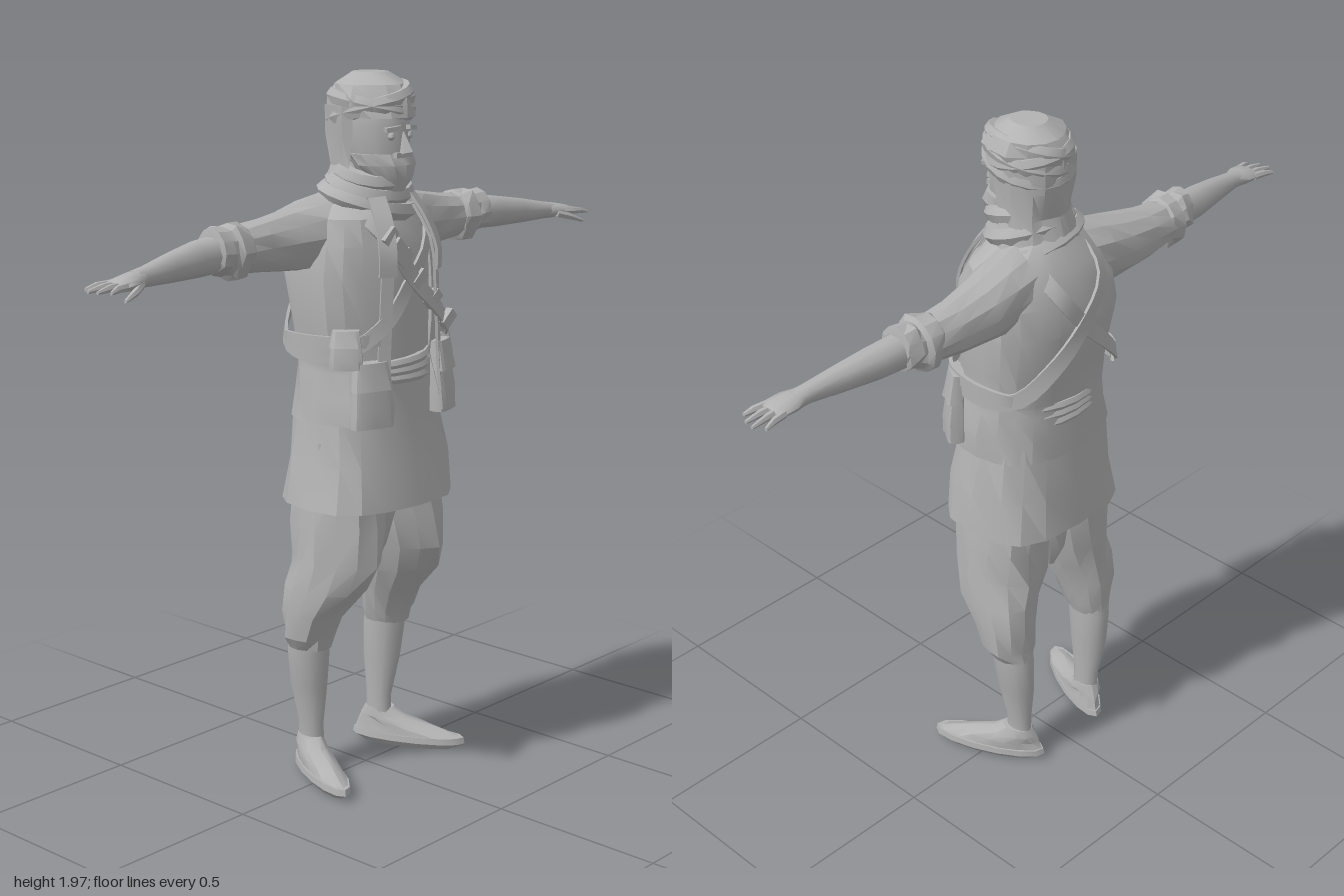
import * as THREE from 'three';
import { toCreasedNormals, mergeGeometries } from 'three/addons/utils/BufferGeometryUtils.js';

const material = new THREE.MeshStandardMaterial({ color: 0xb2b2b2, side: THREE.DoubleSide });
material.name = 'plain grey';

// Repeatable wobble between -1 and 1 for cloth folds
const wobble = (i, j) => {
  const v = Math.sin(i * 127.1 + j * 311.7 + 4.3) * 43758.5453;
  return (v - Math.floor(v)) * 2 - 1;
};

// Skin through rings [along, u, cz, ru, rz]; axis 'y' (u = x) or 'x' (u = y).
// gap leaves the front open; box > 0 squares the cross-section; fold roughens it.
function loft(rings, { axis = 'y', sides = 14, gap = 0, box = 0, fold = 0, caps = true } = {}) {
  const pos = [], idx = [];
  const soft = v => Math.sign(v) * Math.abs(v) ** (1 - box);
  const put = (a, u, z) => (axis === 'y' ? pos.push(u, a, z) : pos.push(a, u, z));
  const dir = axis === 'y' ? 1 : -1;
  rings.forEach(([a, u, cz, ru, rz], i) => {
    for (let j = 0; j <= sides; j++) {
      const t = gap + (j / sides) * (Math.PI * 2 - 2 * gap);
      const k = 1 + fold * wobble(i * 0.35, gap ? j : j % sides);
      put(a, u + dir * soft(Math.sin(t)) * ru * k, cz + soft(Math.cos(t)) * rz * k);
    }
  });
  const w = sides + 1;
  for (let i = 0; i < rings.length - 1; i++)
    for (let j = 0; j < sides; j++) {
      const a = i * w + j, c = a + w;
      idx.push(a, a + 1, c, a + 1, c + 1, c);
    }
  if (caps && !gap) {
    for (const i of [0, rings.length - 1]) {
      const m = pos.length / 3;
      put(rings[i][0], rings[i][1], rings[i][2]);
      for (let j = 0; j < sides; j++) {
        const a = i * w + j;
        if (i) idx.push(a, a + 1, m); else idx.push(a + 1, a, m);
      }
    }
  }
  const g = new THREE.BufferGeometry();
  g.setAttribute('position', new THREE.Float32BufferAttribute(pos, 3));
  g.setIndex(idx);
  return g;
}

// Flat band along a path, lying against the body
function band(points, width, closed = true, n = 40, thick = 0.008) {
  const curve = new THREE.CatmullRomCurve3(points.map(p => new THREE.Vector3(...p)), closed);
  const pos = [], idx = [];
  for (let i = 0; i <= n; i++) {
    const p = curve.getPointAt(i / n), t = curve.getTangentAt(i / n);
    const out = new THREE.Vector3(p.x, Math.max(0, p.y - 1.5), p.z + 0.02);
    out.addScaledVector(t, -out.dot(t)).normalize();
    const side = new THREE.Vector3().crossVectors(out, t).normalize();
    for (const [s, o] of [[-1, 0], [-1, 1], [1, 1], [1, 0]]) {
      const v = p.clone().addScaledVector(side, s * width / 2).addScaledVector(out, o * thick);
      pos.push(v.x, v.y, v.z);
    }
  }
  for (let i = 0; i < n; i++)
    for (let k = 0; k < 4; k++) {
      const a = i * 4 + k, b = i * 4 + (k + 1) % 4;
      idx.push(a, a + 4, b, b, a + 4, b + 4);
    }
  const g = new THREE.BufferGeometry();
  g.setAttribute('position', new THREE.Float32BufferAttribute(pos, 3));
  g.setIndex(idx);
  return g;
}

// Mirror across x, keeping faces outward
function mirror(geo) {
  const g = (geo.index ? geo.toNonIndexed() : geo.clone()).scale(-1, 1, 1);
  const p = g.attributes.position.array;
  for (let i = 0; i < p.length; i += 9)
    for (let k = 0; k < 3; k++) [p[i + k], p[i + 3 + k]] = [p[i + 3 + k], p[i + k]];
  return g;
}

export function createModel() {
  const model = new THREE.Group();
  model.name = 'standing figure';
  const add = (name, geo, crease = 0.6) => {
    for (const k of ['uv', 'normal']) geo.deleteAttribute(k);
    const mesh = new THREE.Mesh(toCreasedNormals(geo, crease), material);
    mesh.name = name;
    model.add(mesh);
  };
  const pair = (name, geo, crease) => {
    add('left' + name, geo.clone(), crease);
    add('right' + name, mirror(geo), crease);
  };
  const box = (w, h, d, x, y, z, rz = 0, ry = 0) =>
    new THREE.BoxGeometry(w, h, d).rotateZ(rz).rotateY(ry).translate(x, y, z);

  // Feet in pointed shoes, turned outward
  const place = g => g.rotateY(0.43).translate(0.148, 0, -0.08);
  pair('Sole', place(loft([[0.012, 0, 0.09, 0.036, 0.14], [0.03, 0, 0.09, 0.05, 0.172], [0.048, 0, 0.09, 0.048, 0.168]])));
  pair('Shoe', place(loft([[0.045, 0, 0.085, 0.045, 0.16], [0.07, 0, 0.055, 0.042, 0.12],
    [0.095, 0, 0.012, 0.038, 0.068], [0.12, 0, 0, 0.032, 0.044]], { fold: 0.07 })), 0.5);

  // Lower legs
  pair('Calf', loft([[0.08, 0.143, -0.08, 0.028, 0.042], [0.16, 0.145, -0.08, 0.028, 0.042],
    [0.28, 0.155, -0.078, 0.045, 0.06], [0.38, 0.16, -0.073, 0.053, 0.066], [0.46, 0.162, -0.06, 0.055, 0.06]]), 1);

  // Baggy trousers gathered under the knee, with a low seat between the legs
  pair('TrouserLeg', loft([[0.395, 0.165, -0.07, 0.056, 0.066], [0.43, 0.165, -0.062, 0.072, 0.074],
    [0.5, 0.16, -0.046, 0.08, 0.092], [0.58, 0.147, -0.012, 0.097, 0.125], [0.66, 0.132, 0.01, 0.11, 0.145],
    [0.76, 0.118, 0.005, 0.116, 0.137], [0.88, 0.108, 0, 0.112, 0.13], [1.0, 0.1, 0, 0.1, 0.12]],
    { fold: 0.09, sides: 13 }), 0.4);
  add('trouserSeat', loft([[0.63, 0, -0.02, 0.03, 0.06], [0.69, 0, -0.015, 0.055, 0.09],
    [0.78, 0, -0.01, 0.08, 0.11], [0.92, 0, 0, 0.1, 0.12]], { fold: 0.08 }), 0.4);

  // Shirt: torso, and its long skirt below the sash
  add('shirt', loft([[1.1, 0, 0, 0.185, 0.14], [1.25, 0, 0, 0.19, 0.14], [1.4, 0, -0.01, 0.2, 0.145],
    [1.52, 0, -0.01, 0.195, 0.145], [1.6, 0, -0.015, 0.17, 0.115], [1.67, 0, -0.01, 0.09, 0.075]], { box: 0.15 }), 1);
  add('shirtSkirt', loft([[0.82, 0.005, 0.008, 0.245, 0.188], [0.94, 0.003, 0.006, 0.226, 0.174],
    [1.08, 0, 0, 0.2, 0.153], [1.2, 0, 0, 0.186, 0.143]], { box: 0.28, fold: 0.035, sides: 16, caps: false }), 0.4);
  for (let i = 0; i < 3; i++)
    add('sash' + (i + 1), new THREE.TorusGeometry(1, 0.09, 6, 24).rotateX(Math.PI / 2)
      .scale(0.182, 0.16, 0.15).rotateZ((i - 1) * 0.04).translate(0, 1.17 + i * 0.022, 0));

  // Open coat with a tail that flares clear of the skirt, and turned-back front edges
  add('coat', loft([[1.06, 0, 0.018, 0.222, 0.176], [1.13, 0, 0.013, 0.217, 0.17], [1.2, 0, 0.005, 0.205, 0.158],
    [1.23, 0, 0.003, 0.202, 0.155], [1.32, 0, -0.002, 0.215, 0.162], [1.45, 0, -0.015, 0.219, 0.17],
    [1.54, 0, -0.012, 0.212, 0.166], [1.61, 0, -0.012, 0.19, 0.138], [1.655, 0, -0.02, 0.135, 0.1],
    [1.69, 0, -0.02, 0.085, 0.08]], { box: 0.2, gap: 0.38, sides: 18, fold: 0.03 }), 0.4);
  pair('CoatEdge', band([[0.115, 1.07, 0.176], [0.11, 1.22, 0.164], [0.1, 1.4, 0.163],
    [0.09, 1.54, 0.156], [0.075, 1.63, 0.105]], 0.035, false, 12));

  // Sleeves, rolled cuffs and forearms
  pair('Sleeve', loft([[0.1, 1.573, -0.035, 0.1, 0.1], [0.18, 1.563, -0.045, 0.095, 0.092],
    [0.26, 1.556, -0.055, 0.082, 0.076], [0.36, 1.55, -0.06, 0.07, 0.064], [0.46, 1.548, -0.055, 0.062, 0.06]],
    { axis: 'x', fold: 0.06, sides: 12 }), 0.45);
  pair('RolledCuff', loft([[0.425, 1.55, -0.055, 0.06, 0.058], [0.435, 1.55, -0.055, 0.072, 0.066],
    [0.475, 1.55, -0.052, 0.074, 0.068], [0.485, 1.55, -0.052, 0.062, 0.058], [0.5, 1.553, -0.05, 0.066, 0.06],
    [0.535, 1.555, -0.048, 0.06, 0.054], [0.54, 1.555, -0.046, 0.045, 0.045]],
    { axis: 'x', fold: 0.11, sides: 12 }), 0.4);
  pair('Forearm', loft([[0.5, 1.55, -0.05, 0.05, 0.047], [0.6, 1.545, -0.04, 0.047, 0.043],
    [0.7, 1.538, -0.025, 0.038, 0.034], [0.8, 1.53, -0.01, 0.026, 0.026], [0.84, 1.527, -0.005, 0.023, 0.03]],
    { axis: 'x', sides: 10 }), 1);

  // Hands: palm, four fingers and thumb
  pair('Palm', loft([[0.81, 1.529, -0.008, 0.023, 0.026], [0.85, 1.526, -0.002, 0.022, 0.04],
    [0.89, 1.522, 0.002, 0.017, 0.042], [0.905, 1.52, 0.002, 0.011, 0.038]], { axis: 'x', sides: 10 }), 1);
  const fingers = [];
  for (let i = 0; i < 4; i++) {
    const z = (i - 1.5) * 0.021, end = [0.955, 0.973, 0.968, 0.95][i];
    fingers.push(loft([[0.885, 1.522, z, 0.011, 0.01], [0.925, 1.521, z * 1.2, 0.01, 0.009],
      [end, 1.515, z * 1.4, 0.005, 0.005]], { axis: 'x', sides: 6 }));
  }
  fingers.push(loft([[0.83, 1.52, 0.02, 0.013, 0.012], [0.87, 1.508, 0.042, 0.011, 0.011],
    [0.915, 1.492, 0.054, 0.005, 0.006]], { axis: 'x', sides: 6 }));
  pair('Fingers', mergeGeometries(fingers), 0.9);

  // Crossed shoulder straps with cartridge pockets and a buckle
  const strap = [[-0.1, 1.668, -0.02], [-0.105, 1.6, 0.115], [-0.06, 1.53, 0.16], [0, 1.45, 0.162], [0.1, 1.35, 0.17],
    [0.19, 1.28, 0.12], [0.22, 1.26, 0], [0.19, 1.28, -0.12], [0.1, 1.37, -0.176], [0, 1.47, -0.186], [-0.08, 1.58, -0.165]];
  add('leftHipStrap', band(strap, 0.045), 0.5);
  add('rightHipStrap', band(strap.map(([x, y, z]) => [-x, y - 0.012, z + (z > 0 ? -0.004 : 0.004)]), 0.04), 0.5);
  for (let i = 0; i < 5; i++) {
    const k = i / 4;
    add('cartridgePocket' + (i + 1), box(0.03, 0.052, 0.022, -0.085 + k * 0.23, 1.565 - k * 0.25, 0.16 + k * 0.01, -0.85));
  }
  add('strapBuckle', box(0.055, 0.05, 0.014, -0.055, 1.525, 0.168, -0.8));

  // Belt over the coat on each flank
  pair('FlankBelt', band([[0.12, 1.295, 0.158], [0.19, 1.29, 0.12], [0.22, 1.285, 0.02],
    [0.2, 1.28, -0.1], [0.16, 1.275, -0.135]], 0.035, false, 16, 0.01));

  // Soft hip bags that widen downward, each under a flap: half width, height, half depth
  const bag = (name, x, y, z, w, h, d, ry) => {
    const set = g => g.rotateY(ry).translate(x, y, z);
    add(name, set(loft([[0, 0, 0, w, d], [h * 0.3, 0, 0, w, d], [h, 0, -0.01, w * 0.75, d * 0.6]],
      { box: 0.55, sides: 12, fold: 0.04 })), 0.5);
    add(name + 'Flap', set(loft([[h * 0.6, 0, 0, w * 0.98, d], [h * 1.03, 0, -0.01, w * 0.8, d * 0.75]],
      { box: 0.55, sides: 12, fold: 0.04 })), 0.5);
  };
  bag('frontRightBag', -0.15, 1.06, 0.158, 0.062, 0.17, 0.025, -0.3);
  bag('frontLeftBag', 0.145, 1.06, 0.155, 0.048, 0.19, 0.025, 0.3);
  bag('sideRightBag', -0.2, 1.22, 0.11, 0.045, 0.1, 0.028, -0.8);
  bag('sideLeftBag', 0.212, 1.09, 0.095, 0.05, 0.2, 0.024, 0.95);

  // Neck scarf in overlapping coils, with hanging ends
  add('neck', loft([[1.6, 0, -0.01, 0.09, 0.08], [1.78, 0, 0, 0.065, 0.07]]), 1);
  [[0.125, 0.1, 1.645, 0.005, 0.25], [0.105, 0.092, 1.685, 0.015, 0.3], [0.09, 0.088, 1.725, 0.025, 0.28]]
    .forEach(([rx, rz, y, z, tilt], i) => add('scarfCoil' + (i + 1),
      new THREE.TorusGeometry(1, 0.27, 6, 16).rotateX(Math.PI / 2)
        .scale(rx, 0.1, rz).rotateX(tilt).rotateZ((i - 1) * 0.15).translate(0, y, z), 0.4));
  pair('ScarfEnd', band([[0.07, 1.66, 0.1], [0.085, 1.6, 0.14], [0.1, 1.52, 0.168], [0.1, 1.46, 0.168]], 0.05, false, 8));

  // Head with beard, nose, brows, eyes and ears
  add('head', loft([[1.69, 0, 0.07, 0.035, 0.045], [1.72, 0, 0.05, 0.065, 0.08], [1.78, 0, 0.03, 0.083, 0.105],
    [1.85, 0, 0.02, 0.09, 0.115], [1.92, 0, 0.015, 0.085, 0.105], [1.96, 0, 0.01, 0.05, 0.06]]), 1);
  add('beard', loft([[1.675, 0, 0.1, 0.025, 0.03], [1.705, 0, 0.085, 0.06, 0.058],
    [1.745, 0, 0.07, 0.085, 0.072], [1.775, 0, 0.045, 0.09, 0.082]], { fold: 0.08 }), 0.5);
  add('nose', new THREE.ConeGeometry(0.02, 0.07, 5).scale(1, 1, 1.1).rotateX(-0.25).translate(0, 1.81, 0.138));
  add('moustache', box(0.065, 0.014, 0.02, 0, 1.772, 0.13));
  pair('Brow', box(0.045, 0.012, 0.018, 0.036, 1.842, 0.128, -0.12, 0.3));
  pair('Eye', new THREE.SphereGeometry(0.011, 8, 6).translate(0.035, 1.822, 0.122), 1);
  pair('Ear', new THREE.SphereGeometry(0.022, 8, 6).scale(0.5, 1.3, 0.8).translate(0.09, 1.805, 0.01), 1);

  // Wrapped turban with cloth falling behind the head
  add('turbanCrown', loft([[1.87, 0.003, 0.015, 0.105, 0.123], [1.92, 0.003, 0.015, 0.11, 0.123],
    [1.955, 0.005, 0.01, 0.092, 0.1], [1.985, 0.01, 0.005, 0.045, 0.05]], { fold: 0.08 }), 0.4);
  [[0.25, 0.12, 1.895], [-0.18, -0.16, 1.9], [0.05, 0.28, 1.92], [0.3, -0.1, 1.87]]
    .forEach(([rx, rz, y], i) => add('turbanWrap' + (i + 1),
      new THREE.TorusGeometry(1, 0.16, 6, 18).rotateX(Math.PI / 2)
        .scale(0.099 - (i === 2 ? 0.012 : 0), 0.14, 0.112).rotateX(-rx * 0.8).rotateZ(rz).translate(0.003, y, 0.015), 0.4));
  add('headCloth', loft([[1.66, 0, -0.015, 0.12, 0.1], [1.74, 0, 0, 0.1, 0.092],
    [1.82, 0, 0.005, 0.104, 0.11], [1.9, 0, 0.01, 0.108, 0.12]], { gap: 1.25, fold: 0.06 }), 0.4);

  return model;
}
